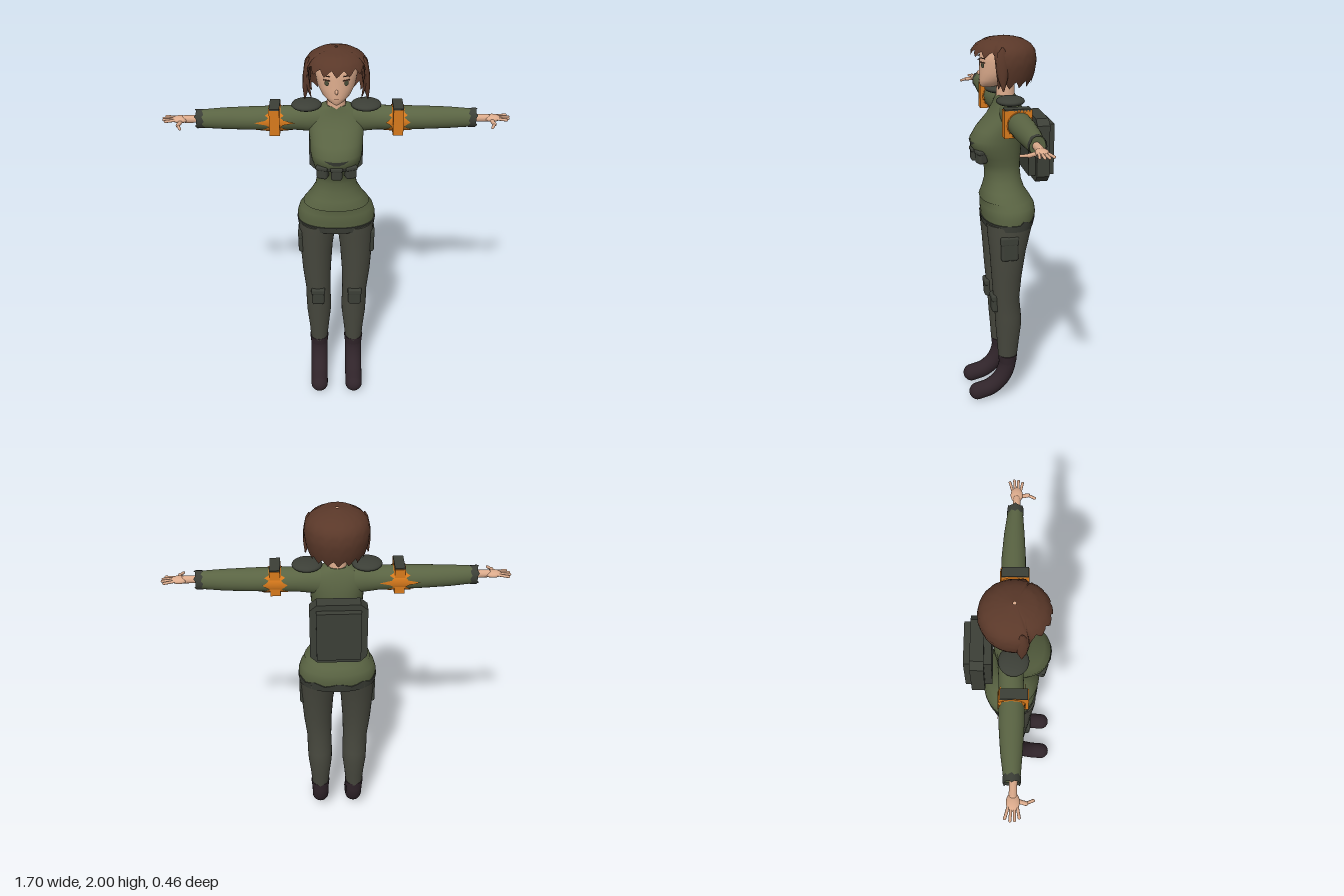
import * as THREE from 'three';
import { RoundedBoxGeometry } from 'three/addons/geometries/RoundedBoxGeometry.js';

const mat = (name, color, side = THREE.FrontSide) => {
  const m = new THREE.MeshStandardMaterial({ color, side });
  m.name = name;
  return m;
};

// Rings [y, halfWidth, zFront, zBack, centreX], listed bottom to top; shift(angle, ring) moves points along y
function loft(rings, { n = 32, p = 2, cap = true, shift = () => 0 } = {}) {
  const pos = [], idx = [];
  const ringPoints = (r, k) => {
    const [y, rx, zf, zb, cx = 0] = r;
    for (let i = 0; i < n; i++) {
      const a = (i / n) * Math.PI * 2, c = Math.cos(a), s = Math.sin(a);
      pos.push(cx + rx * Math.sign(c) * Math.abs(c) ** (2 / p), y + shift(a, k, i),
        (zf + zb) / 2 + (zf - zb) / 2 * Math.sign(s) * Math.abs(s) ** (2 / p));
    }
  };
  rings.forEach(ringPoints);
  for (let k = 0; k < rings.length - 1; k++) for (let i = 0; i < n; i++) {
    const a = k * n + i, b = k * n + (i + 1) % n;
    idx.push(a, a + n, b, b, a + n, b + n);
  }
  if (cap) [0, rings.length - 1].forEach((k, top) => {
    const start = pos.length / 3, r = rings[k];
    ringPoints(r, k);
    pos.push(r[4] || 0, r[0], (r[2] + r[3]) / 2);
    for (let i = 0; i < n; i++) {
      const a = start + i, b = start + (i + 1) % n;
      idx.push(start + n, top ? b : a, top ? a : b);
    }
  });
  const g = new THREE.BufferGeometry();
  g.setAttribute('position', new THREE.Float32BufferAttribute(pos, 3));
  g.setIndex(idx);
  g.computeVertexNormals();
  return g;
}

export function createModel() {
  const green = mat('olive cloth', 0x5a6443, THREE.DoubleSide);
  const trousers = mat('grey trousers', 0x47483e);
  const dark = mat('dark gear', 0x3c3f37, THREE.DoubleSide);
  const boots = mat('dark boots', 0x30242a);
  const hair = mat('brown hair', 0x5a3829, THREE.DoubleSide);
  const skin = mat('skin', 0xdcab8c);
  const orange = mat('orange band', 0xd87a1c, THREE.DoubleSide);
  const iris = mat('eye', 0x4d4f3a);

  const model = new THREE.Group();
  model.name = 'figure';
  const add = (name, geo, m, parent = model, x = 0, y = 0, z = 0) => {
    const mesh = new THREE.Mesh(geo, m);
    mesh.name = name;
    mesh.position.set(x, y, z);
    parent.add(mesh);
    return mesh;
  };
  const ellipsoid = (name, m, parent, x, y, z, rx, ry, rz) => {
    const e = add(name, new THREE.SphereGeometry(1, 24, 16), m, parent, x, y, z);
    e.scale.set(rx, ry, rz);
    return e;
  };
  const limb = (name, m, parent, a, b, r) => {
    const A = new THREE.Vector3(...a), B = new THREE.Vector3(...b), d = B.clone().sub(A);
    const c = add(name, new THREE.CapsuleGeometry(r, d.length(), 4, 10), m, parent);
    c.position.copy(A).add(B).multiplyScalar(0.5);
    c.quaternion.setFromUnitVectors(new THREE.Vector3(0, 1, 0), d.normalize());
  };
  const rbox = (w, h, d, r) => new RoundedBoxGeometry(w, h, d, 3, r);

  // Tunic, with a step where the shirt overlaps its skirt
  add('tunic', loft([
    [1.05, 0.198, 0.128, -0.135], [1.1, 0.202, 0.134, -0.147], [1.14, 0.19, 0.136, -0.142],
    [1.17, 0.168, 0.13, -0.125], [1.175, 0.17, 0.14, -0.122], [1.22, 0.138, 0.125, -0.092],
    [1.27, 0.108, 0.113, -0.075], [1.32, 0.097, 0.112, -0.07], [1.36, 0.1, 0.122, -0.07],
    [1.4, 0.112, 0.148, -0.072], [1.45, 0.124, 0.183, -0.076], [1.49, 0.13, 0.186, -0.08],
    [1.54, 0.132, 0.155, -0.085], [1.6, 0.138, 0.098, -0.085], [1.65, 0.138, 0.066, -0.075],
    [1.69, 0.11, 0.052, -0.06], [1.71, 0.055, 0.048, -0.045],
  ], { n: 40, p: 2.2 }), green);
  add('belt', loft([[1.035, 0.2, 0.13, -0.136], [1.07, 0.205, 0.136, -0.146]], {
    n: 40, p: 2.2, shift: (a, k, i) => (k && Math.sin(a) < -0.2 ? [0, 0.012, 0.02, 0.008][i % 4] : 0),
  }), dark);

  // Chest rig: wrapped strap and three pouches
  const strap = [];
  for (let i = 0; i <= 12; i++) {
    const a = (i / 12 - 0.5) * 1.9;
    strap.push(new THREE.Vector3(Math.sin(a) * 0.122, 0, Math.cos(a) * 0.135 + 0.052));
  }
  const strapGeo = new THREE.PlaneGeometry(1, 1, 12, 1);
  for (let i = 0; i < 26; i++) {
    const v = strap[i % 13], low = i > 12;
    strapGeo.attributes.position.setXYZ(i, v.x, low ? 1.42 : 1.482, v.z - (low ? 0.015 : -0.004));
  }
  strapGeo.computeVertexNormals();
  add('chestStrap', strapGeo, dark);
  for (const x of [-0.068, 0, 0.068]) {
    const z = x ? 0.142 : 0.16;
    add('chestPouch', rbox(0.056, 0.066, 0.05, 0.014), dark, model, x, 1.408, z).rotation.y = x * 5;
    add('pouchFlap', rbox(0.06, 0.022, 0.056, 0.008), dark, model, x, 1.435, z).rotation.y = x * 5;
  }

  // Backpack: slab with cut corners and a deeper middle
  const slab = new THREE.Shape([
    [-0.14, 1.305], [-0.105, 1.27], [0.105, 1.27], [0.14, 1.305],
    [0.14, 1.57], [0.105, 1.6], [-0.105, 1.6], [-0.14, 1.57],
  ].map(([x, y]) => new THREE.Vector2(x, y)));
  add('backpackSlab', new THREE.ExtrudeGeometry(slab, { depth: 0.065, bevelEnabled: false }), dark, model, 0, 0, -0.195);
  add('backpackBody', new THREE.BoxGeometry(0.216, 0.265, 0.132), dark, model, 0, 1.4375, -0.16);

  // Neck, head and face
  add('neck', new THREE.CylinderGeometry(0.043, 0.048, 0.13, 20), skin, model, 0, 1.745, 0.003);
  add('head', loft([
    [1.752, 0.018, 0.122, 0.05], [1.765, 0.042, 0.134, 0], [1.79, 0.07, 0.136, -0.04],
    [1.83, 0.092, 0.134, -0.08], [1.88, 0.102, 0.132, -0.1], [1.93, 0.102, 0.13, -0.1],
    [1.97, 0.07, 0.09, -0.07],
  ]), skin);
  ellipsoid('nose', skin, model, 0, 1.822, 0.132, 0.008, 0.012, 0.014);
  add('mouth', new THREE.BoxGeometry(0.024, 0.003, 0.004), hair, model, 0, 1.788, 0.134);
  for (const s of [-1, 1]) {
    const eye = new THREE.Group();
    eye.name = 'eye';
    eye.position.set(s * 0.046, 1.865, 0.126);
    eye.rotation.y = s * 0.5;
    model.add(eye);
    add('iris', new THREE.CircleGeometry(0.012, 16), iris, eye).scale.y = 1.15;
    add('lash', new THREE.BoxGeometry(0.034, 0.005, 0.003), hair, eye, 0, 0.014, 0.001);
    add('brow', new THREE.BoxGeometry(0.032, 0.004, 0.003), hair, eye, 0, 0.034, 0);
  }

  // Bobbed hair: a shell with a jagged lower edge, short over the face
  const hairRadius = [[1.74, 0.118], [1.77, 0.132], [1.82, 0.148], [1.88, 0.157], [1.93, 0.15], [1.96, 0.128], [1.985, 0.085], [2, 0.004]];
  const radiusAt = (y) => {
    const k = Math.max(1, hairRadius.findIndex((h) => h[0] >= y));
    const [a, b] = [hairRadius[k - 1], hairRadius[k]];
    return a[1] + (b[1] - a[1]) * (y - a[0]) / (b[0] - a[0]);
  };
  const shell = new THREE.PlaneGeometry(1, 1, 80, 14), hp = shell.attributes.position;
  for (let i = 0; i < hp.count; i++) {
    const col = i % 81, t = Math.floor(i / 81) / 14, a = (col / 80) * Math.PI * 2 - Math.PI;
    const front = Math.abs(a) < 1.12, jag = [0, 0.012, 0.026, 0.034, 0.018][col % 5];
    const low = front ? 1.908 + jag * 0.9 : 1.76 + jag;
    const y = 1.9995 - (1.9995 - low) * t ** 1.6, r = radiusAt(y);
    hp.setXYZ(i, Math.sin(a) * r, y, 0.012 + Math.cos(a) * r * (Math.cos(a) > 0 ? 1.08 : 1.04));
  }
  shell.computeVertexNormals();
  add('hair', shell, hair);

  // Parts made once for the left and mirrored for the right
  for (const s of [1, -1]) {
    const half = new THREE.Group();
    half.name = s > 0 ? 'leftSide' : 'rightSide';
    half.scale.x = s;
    model.add(half);

    const lock = add('sideLock', loft([[-0.11, 0.003, 0.003, -0.003], [-0.05, 0.016, 0.024, -0.022],
      [0.02, 0.02, 0.032, -0.03], [0.075, 0.014, 0.022, -0.02], [0.1, 0.003, 0.004, -0.004]], { n: 12 }), hair, half, 0.14, 1.863, 0.045);
    lock.rotation.z = 0.1;
    ellipsoid('shoulderPad', dark, half, 0.145, 1.708, 0.01, 0.074, 0.024, 0.07);

    // Arm, built upright and laid along x
    const arm = new THREE.Group();
    arm.name = 'arm';
    arm.position.y = 1.634;
    arm.rotation.z = -Math.PI / 2;
    half.add(arm);
    add('sleeve', loft([
      [0.08, 0.075, 0.055, -0.065], [0.14, 0.068, 0.055, -0.062], [0.2, 0.061, 0.056, -0.058], [0.3, 0.06, 0.062, -0.056],
      [0.42, 0.057, 0.061, -0.054], [0.55, 0.053, 0.054, -0.044], [0.67, 0.045, 0.045, -0.028],
    ]), green, arm);
    add('cuff', loft([[0.645, 0.048, 0.048, -0.032], [0.682, 0.049, 0.048, -0.031]], {
      n: 24, cap: false, shift: (a, k, i) => (k ? (i % 4 === 0 ? 0.008 : 0) : (i % 3) * 0.005),
    }), dark, arm);
    const reach = [0.03, 0.045, 0.075, 0.05, 0.03, 0.04, s > 0 ? 0.06 : 0.1, 0.045];
    add('orangeSplash', loft([-1, -0.5, 0, 0.5, 1].map((t) => [0.3, 0.064, 0.066, -0.06]), {
      n: 32, cap: false,
      shift: (a, k, i) => (k / 2 - 1) * (Math.cos(a) < -0.6 ? 0.03 : reach[(i + 30) % 8]),
    }), orange, arm);
    add('armBand', new THREE.BoxGeometry(0.05, 0.132, 0.134), orange, half, 0.3, 1.638, 0.012);
    add('bandTop', new THREE.BoxGeometry(0.05, 0.012, 0.126), dark, half, 0.3, 1.704, 0.012);

    // Hand
    limb('wrist', skin, half, [0.66, 1.635, 0.014], [0.74, 1.635, 0.014], 0.019);
    ellipsoid('palm', skin, half, 0.764, 1.634, 0.014, 0.042, 0.017, 0.03);
    [[0.835, -0.02], [0.845, 0.002], [0.843, 0.022], [0.832, 0.042]].forEach(([x, z], i) =>
      limb('finger', skin, half, [0.785, 1.636, -0.006 + i * 0.013], [x, 1.634, z], 0.0068));
    limb('thumb', skin, half, [0.758, 1.63, 0.032], [0.768, 1.626, 0.07], 0.01);
    limb('thumbTip', skin, half, [0.768, 1.626, 0.07], [0.754, 1.622, 0.102], 0.007);

    // Leg with pouches
    add('trouserLeg', loft([
      [0.26, 0.047, 0.064, -0.04, 0.098], [0.35, 0.055, 0.07, -0.05, 0.097], [0.45, 0.066, 0.078, -0.062, 0.097],
      [0.52, 0.068, 0.082, -0.06, 0.098], [0.62, 0.067, 0.09, -0.05, 0.1], [0.75, 0.076, 0.1, -0.06, 0.106],
      [0.9, 0.086, 0.11, -0.082, 0.106], [1.0, 0.095, 0.12, -0.106, 0.101], [1.06, 0.098, 0.124, -0.12, 0.099],
    ]), trousers, half);
    add('thighPouch', rbox(0.04, 0.13, 0.09, 0.014), dark, half, 0.181, 0.94, 0.02);
    add('thighPouchFlap', rbox(0.042, 0.05, 0.096, 0.012), dark, half, 0.181, 0.985, 0.02);
    add('kneePouch', rbox(0.07, 0.1, 0.045, 0.014), dark, half, 0.1, 0.6, 0.081);
    add('kneePouchFlap', rbox(0.076, 0.036, 0.048, 0.01), dark, half, 0.1, 0.634, 0.082);

    // Soft boot bent forward to a round toe
    const path = new THREE.CatmullRomCurve3([[0.27, 0.012], [0.19, 0.018], [0.12, 0.05], [0.068, 0.11], [0.047, 0.184]]
      .map(([y, z]) => new THREE.Vector3(0.098, y, z)));
    add('boot', new THREE.TubeGeometry(path, 24, 0.047, 20), boots, half);
    add('bootTop', new THREE.CylinderGeometry(0.053, 0.048, 0.05, 24), boots, half, 0.098, 0.245, 0.012);
    ellipsoid('bootToe', boots, half, 0.098, 0.047, 0.184, 0.047, 0.047, 0.046);
  }
  return model;
}
